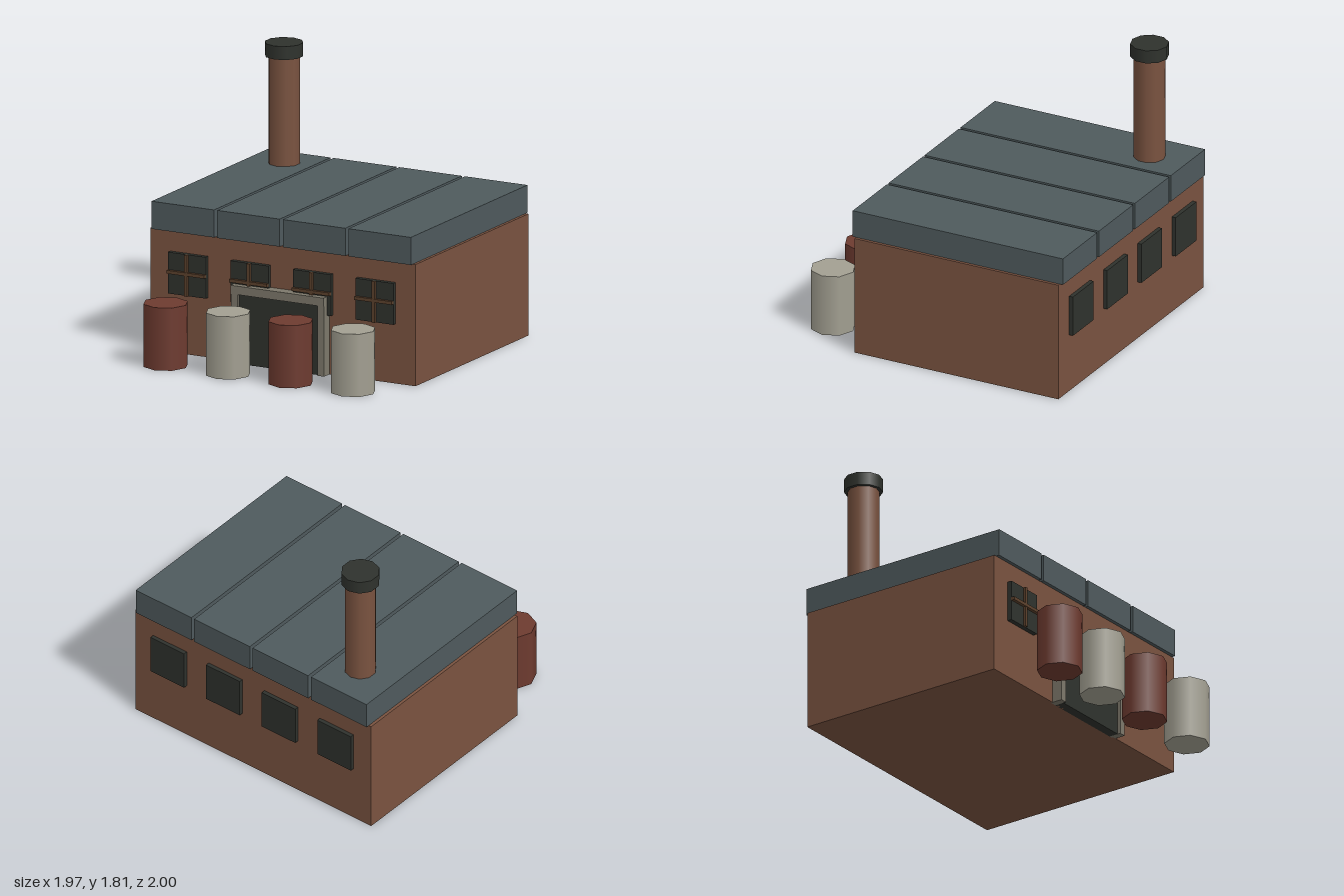
import * as THREE from 'three';

const material = (color) => new THREE.MeshStandardMaterial({ color });

export function createModel() {
  const model = new THREE.Group();
  const brick = material(0x7a5340), slate = material(0x4f5a5d), dark = material(0x2f322d);
  const timber = material(0x5c412c), stone = material(0x7d786b);
  const red = material(0x6e3b30), pale = material(0xa3a092);

  const add = (name, geometry, mat, x, y, z) => {
    const mesh = new THREE.Mesh(geometry, mat);
    mesh.name = name;
    mesh.position.set(x, y, z);
    model.add(mesh);
  };
  // box given by its min and max on each axis
  const box = (name, mat, [x0, x1], [y0, y1], [z0, z1]) =>
    add(name, new THREE.BoxGeometry(x1 - x0, y1 - y0, z1 - z0), mat,
      (x0 + x1) / 2, (y0 + y1) / 2, (z0 + z1) / 2);
  // upright cylinder standing on y0
  const column = (name, mat, r, sides, x, y0, y1, z) =>
    add(name, new THREE.CylinderGeometry(r, r, y1 - y0, sides), mat, x, (y0 + y1) / 2, z);

  box('walls', brick, [-0.983, 0.983], [0, 0.815], [-0.972, 0.533]);

  for (let i = 0; i < 4; i++) {
    const n = i - 1.5;

    // roof panels with narrow gaps
    const rx = n * 0.487;
    box('roofPanel', slate, [rx - 0.232, rx + 0.232], [0.815, 1], [-0.995, 0.558]);

    // front windows with glazing bars, plain back windows
    const x = n * 0.464;
    box('frontWindow', dark, [x - 0.14, x + 0.14], [0.4, 0.677], [0.52, 0.565]);
    box('windowUpright', timber, [x - 0.011, x + 0.011], [0.4, 0.677], [0.56, 0.583]);
    box('windowCrossbar', timber, [x - 0.14, x + 0.14], [0.538, 0.56], [0.56, 0.587]);
    box('backWindow', dark, [x - 0.14, x + 0.14], [0.4, 0.677], [-1, -0.96]);

    // barrels along the front
    column('barrel', i % 2 ? pale : red, 0.149, 8, x, 0, 0.42, 0.849);
  }

  // doorway
  box('door', dark, [-0.297, 0.297], [0, 0.47], [0.52, 0.585]);
  for (const s of [-1, 1]) {
    const edges = [s * 0.297, s * 0.345].sort((a, b) => a - b);
    box('doorJamb', stone, edges, [0, 0.47], [0.52, 0.606]);
  }
  box('doorLintel', stone, [-0.348, 0.345], [0.47, 0.527], [0.52, 0.612]);

  // chimney
  column('chimney', brick, 0.104, 10, -0.697, 0.98, 1.72, -0.73);
  column('chimneyCap', dark, 0.127, 10, -0.697, 1.72, 1.81, -0.73);

  return model;
}
